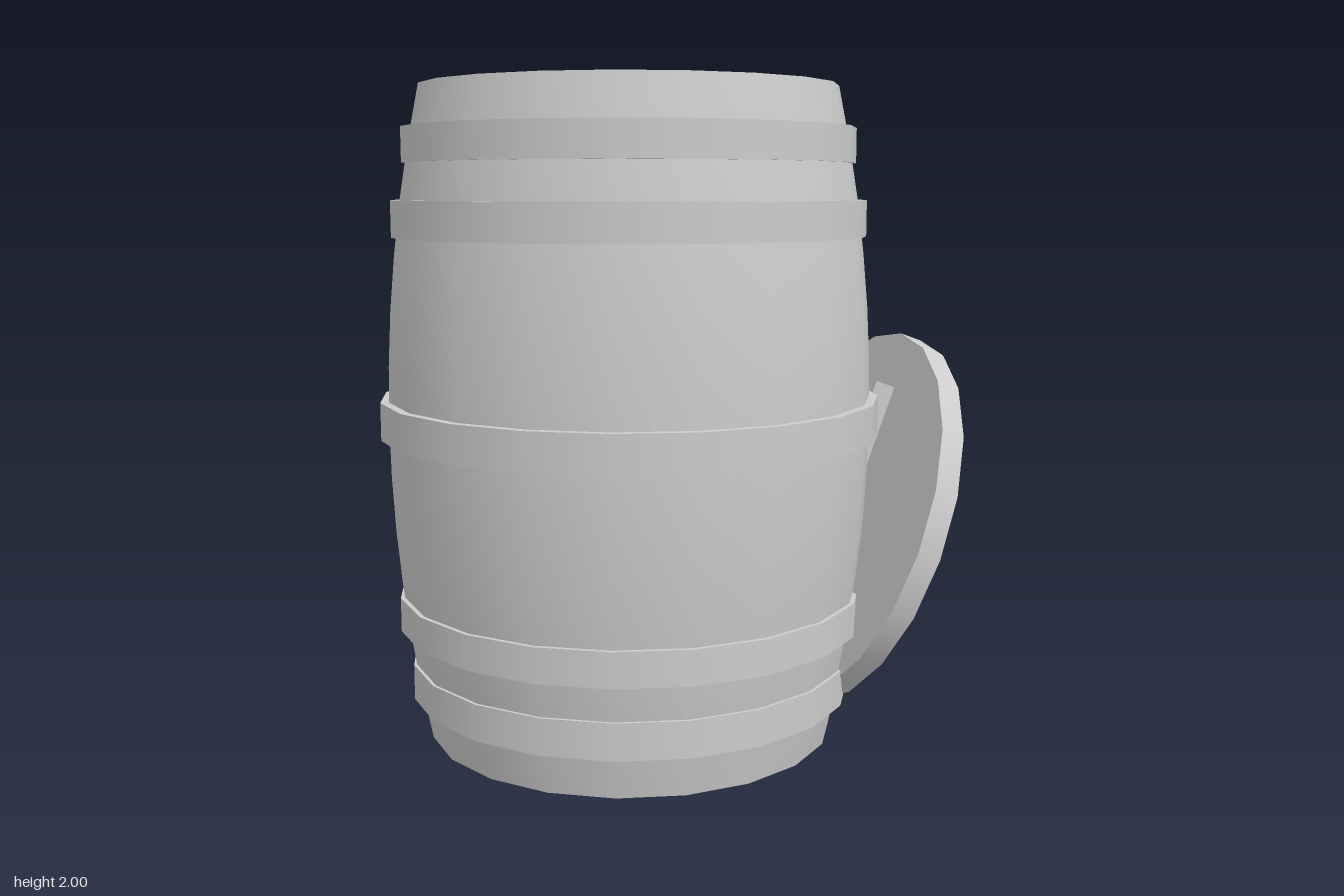
import * as THREE from 'three';

const SIDES = 20;

export function createModel() {
  const model = new THREE.Group();
  model.name = 'barrelWithLid';
  const grey = new THREE.MeshStandardMaterial({ color: 0xcccccc });
  grey.name = 'plain grey';

  // Each run of profile points is smooth; separate runs meet at sharp edges.
  function turned(name, runs) {
    const group = new THREE.Group();
    group.name = name;
    for (const run of runs) {
      const points = run.map(([r, y]) => new THREE.Vector2(r, y));
      const mesh = new THREE.Mesh(new THREE.LatheGeometry(points, SIDES), grey);
      mesh.name = name + 'Surface';
      group.add(mesh);
    }
    return group;
  }

  const barrel = new THREE.Group();
  barrel.name = 'barrel';
  barrel.position.x = -0.11;
  model.add(barrel);

  // Bulging staves with a flat base, open rim and recessed head
  const bulge = [];
  for (let i = 0; i <= 12; i++) {
    const y = i / 6;
    bulge.push([0.745 - 0.11 * (y - 1) ** 2, y]);
  }
  barrel.add(turned('staves', [
    [[0, 0], [0.635, 0]],
    bulge,
    [[0.635, 2], [0.57, 2]],
    [[0.57, 2], [0.61, 1.67]],
    [[0.61, 1.67], [0, 1.67]],
  ]));

  // Hoops: outer radius, bottom, top
  const hoops = [
    [0.69, 0.13, 0.24], [0.725, 0.35, 0.455], [0.77, 0.945, 1.06],
    [0.725, 1.55, 1.66], [0.69, 1.77, 1.875],
  ];
  for (const [r, low, high] of hoops) {
    const inner = r - 0.07;
    barrel.add(turned('hoop', [
      [[inner, low], [r, low]],
      [[r, low], [r, high]],
      [[r, high], [inner, high]],
    ]));
  }

  // Lid leaning on the side; its local y axis points away from the barrel
  const lid = new THREE.Group();
  lid.name = 'lid';
  lid.position.set(0.63, 0.635, 0);
  lid.rotation.z = -Math.PI / 2 - THREE.MathUtils.degToRad(20);
  model.add(lid);

  const disc = new THREE.Mesh(new THREE.CylinderGeometry(0.615, 0.615, 0.074, SIDES), grey);
  disc.name = 'lidDisc';
  lid.add(disc);

  // Batten across the inner face
  const batten = new THREE.Mesh(new THREE.BoxGeometry(0.88, 0.066, 0.18), grey);
  batten.name = 'lidBatten';
  batten.position.y = -0.07;
  lid.add(batten);

  return model;
}
